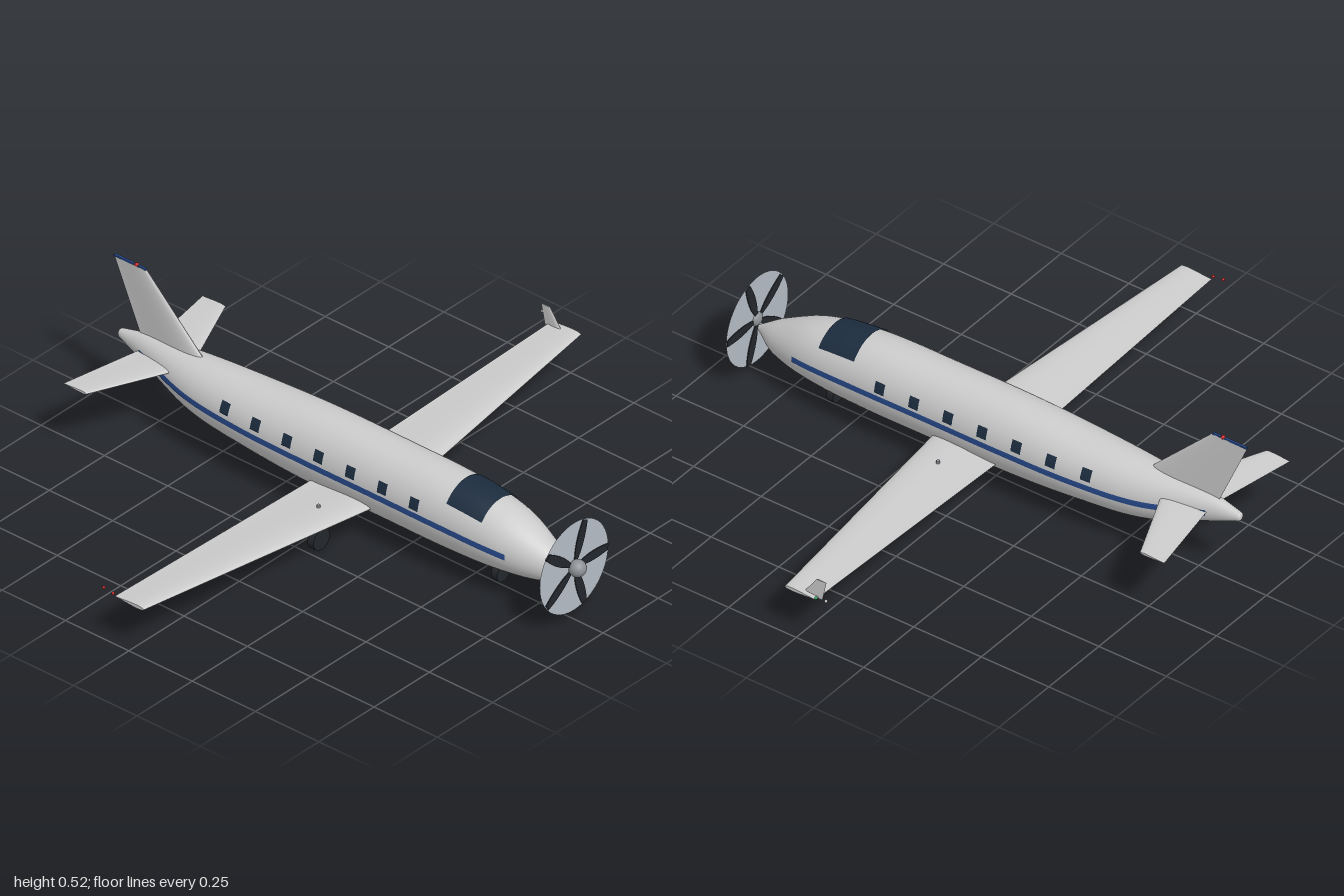
import * as THREE from 'three';
import { mergeVertices, toCreasedNormals } from 'three/addons/utils/BufferGeometryUtils.js';

const paint = (color) => new THREE.MeshStandardMaterial({ color, side: THREE.DoubleSide });
const GREY = paint(0xcccccc), NAVY = paint(0x1c2c3e), BLUE = paint(0x274a8c), DARK = paint(0x23262b);
const DISC = paint(0xb4bcc5), METAL = paint(0x8c9094), RED = paint(0xcc2222), GREEN = paint(0x22aa55);

// Fuselage stations: z, centre height, half width, half height
const STATIONS = [
  [0.87, 0.162, 0.012, 0.013], [0.8, 0.163, 0.054, 0.058], [0.65, 0.185, 0.098, 0.104],
  [0.45, 0.195, 0.112, 0.125], [0.2, 0.197, 0.113, 0.128], [-0.1, 0.197, 0.113, 0.128],
  [-0.35, 0.2, 0.109, 0.112], [-0.58, 0.208, 0.087, 0.093], [-0.8, 0.24, 0.036, 0.046],
  [-0.9, 0.25, 0.014, 0.016],
];

// Smooth (Hermite) station values at any z
function station(z) {
  const S = STATIONS, n = S.length;
  let i = 0;
  while (i < n - 2 && z < S[i + 1][0]) i++;
  const slope = (k, c) => {
    const a = S[Math.max(k - 1, 0)], b = S[Math.min(k + 1, n - 1)];
    return (b[c] - a[c]) / (b[0] - a[0]);
  };
  const h = S[i + 1][0] - S[i][0], t = (z - S[i][0]) / h, t2 = t * t, t3 = t2 * t;
  return [1, 2, 3].map((c) => (2 * t3 - 3 * t2 + 1) * S[i][c] + (t3 - 2 * t2 + t) * h * slope(i, c)
    + (3 * t2 - 2 * t3) * S[i + 1][c] + (t3 - t2) * h * slope(i + 1, c));
}

// Grid of nu x nv cells whose vertices are placed by fn(u, v)
function sheet(nu, nv, fn) {
  const g = new THREE.PlaneGeometry(1, 1, nu, nv), p = g.attributes.position;
  for (let i = 0; i < p.count; i++) p.setXYZ(i, ...fn(p.getX(i) + 0.5, p.getY(i) + 0.5));
  g.deleteAttribute('uv');
  g.deleteAttribute('normal');
  const m = mergeVertices(g, 1e-5);
  m.computeVertexNormals();
  return m;
}

// Patch of fuselage skin between z0 and z1; range(station) gives its angle limits
function skin(z0, z1, nu, nv, lift, range) {
  return sheet(nu, nv, (u, v) => {
    const z = z0 + (z1 - z0) * v, s = station(z), [a0, a1] = range(s), a = a0 + (a1 - a0) * u;
    return [(s[1] + lift) * Math.cos(a), s[0] + (s[2] + lift) * Math.sin(a), z];
  });
}

// Aerofoil panel; root and tip are [span, height, zLead, zTrail, thickness]
function panel(root, tip, side = 1) {
  const g = sheet(28, 2, (u, v) => {
    const k = Math.min(1, v * 2), a = -side * u * Math.PI * 2;
    const [x, y, lead, trail, thick] = root.map((r, i) => r + (tip[i] - r) * k);
    const t = v > 0.9 ? 0 : thick; // last row closes the tip
    return [side * x, y + t * 0.385 * Math.sin(a) * (1 + Math.cos(a)),
      lead + (trail - lead) * (1 - Math.cos(a)) / 2];
  });
  return toCreasedNormals(g, 0.7);
}

export function createModel() {
  const model = new THREE.Group();
  const add = (name, geo, mat, x = 0, y = 0, z = 0, parent = model) => {
    const m = new THREE.Mesh(geo, mat);
    m.name = name;
    m.position.set(x, y, z);
    parent.add(m);
    return m;
  };

  // Fuselage with closed ends
  add('fuselage', skin(-0.9, 0.87, 48, 72, 0, () => [-Math.PI / 2, Math.PI * 1.5]), GREY);
  add('noseCap', new THREE.SphereGeometry(0.0125, 16, 10), GREY, 0, 0.162, 0.868);
  add('tailCap', new THREE.SphereGeometry(0.015, 16, 10).scale(0.95, 1, 0.6), GREY, 0, 0.25, -0.9);

  // Windscreen wrapped over the roof
  add('windscreen', skin(0.46, 0.595, 24, 8, 0.003, () => [0.66, Math.PI - 0.66]), NAVY);

  for (const side of [1, -1]) {
    // Angle limits of a band between two heights, on either flank
    const band = (lo, hi) => (side > 0 ? [lo, hi] : [Math.PI - hi, Math.PI - lo]);
    const tag = side > 0 ? 'left' : 'right';

    // Stripe and cabin windows
    add(tag + 'Stripe', skin(-0.8, 0.69, 3, 60, 0.002,
      (s) => band(-Math.asin(0.01 / s[2]), Math.asin(0.01 / s[2]))), BLUE);
    for (let i = 0; i < 7; i++) {
      const z = 0.35 - i * 0.126, y = 0.233 + i * 0.0015;
      add(tag + 'Window', skin(z - 0.0175, z + 0.0175, 4, 2, 0.003,
        (s) => band(Math.asin((y - 0.018 - s[0]) / s[2]), Math.asin((y + 0.018 - s[0]) / s[2]))), NAVY);
    }

    // Wing and tailplane
    add(tag + 'Wing', panel([0.04, 0.129, 0.174, -0.07, 0.03], [0.99, 0.163, 0.05, -0.064, 0.012], side), GREY);
    add(tag + 'Tailplane', panel([0.01, 0.245, -0.63, -0.8, 0.014], [0.315, 0.245, -0.765, -0.855, 0.008], side), GREY);

    // Wing tip lights
    add(tag + 'TipLight', new THREE.SphereGeometry(0.005, 10, 8), side > 0 ? GREEN : RED, side * 0.993, 0.173, -0.068);
    add(tag + 'RearTipLight', new THREE.SphereGeometry(0.005, 10, 8), side > 0 ? GREY : RED, side * 0.993, 0.178, -0.105);

    // Main landing gear
    add(tag + 'GearStrut', new THREE.CylinderGeometry(0.006, 0.006, 0.115, 12), METAL, side * 0.21, 0.098, 0.06);
    add(tag + 'Wheel', new THREE.CylinderGeometry(0.037, 0.037, 0.025, 24).rotateX(Math.PI / 2), DARK, side * 0.21, 0.038, 0.06);
  }

  // Nose gear
  add('noseStrut', new THREE.CylinderGeometry(0.006, 0.006, 0.07, 12), METAL, 0, 0.08, 0.595);
  add('noseWheel', new THREE.CylinderGeometry(0.03, 0.03, 0.024, 24).rotateX(Math.PI / 2), DARK, 0, 0.045, 0.595);

  // Winglet on the left tip only
  add('winglet', panel([0.155, 0, -0.005, -0.075, 0.008], [0.225, 0, -0.055, -0.09, 0.004])
    .rotateZ(Math.PI / 2), GREY, 0.97, 0, 0);

  // Fin with coloured cap and beacon
  add('fin', panel([0.27, 0, -0.55, -0.822, 0.026], [0.515, 0, -0.8, -0.93, 0.01])
    .rotateZ(Math.PI / 2), GREY);
  add('finCap', new THREE.BoxGeometry(0.008, 0.006, 0.125), BLUE, 0, 0.516, -0.866);
  add('beacon', new THREE.SphereGeometry(0.007, 12, 8), RED, 0, 0.518, -0.84);

  // Propeller: disc, five blades and spinner
  const propeller = new THREE.Group();
  propeller.name = 'propeller';
  propeller.position.set(0, 0.188, 0.885);
  model.add(propeller);
  add('propellerDisc', new THREE.CircleGeometry(0.155, 48), DISC, 0, 0, 0, propeller);
  const outline = new THREE.Shape();
  outline.moveTo(0.02, -0.006);
  outline.quadraticCurveTo(0.075, -0.024, 0.15, -0.013);
  outline.lineTo(0.153, 0.008);
  outline.quadraticCurveTo(0.085, 0.024, 0.02, 0.006);
  const bladeGeo = new THREE.ExtrudeGeometry(outline, { depth: 0.006, bevelEnabled: false, curveSegments: 10 })
    .translate(0, 0, -0.003);
  for (let i = 0; i < 5; i++) {
    add('blade', bladeGeo, DARK, 0, 0, 0, propeller).rotation.z = (i * Math.PI * 2) / 5;
  }
  add('spinner', new THREE.SphereGeometry(0.028, 24, 16), METAL, 0, 0, 0.014, propeller);

  return model;
}
